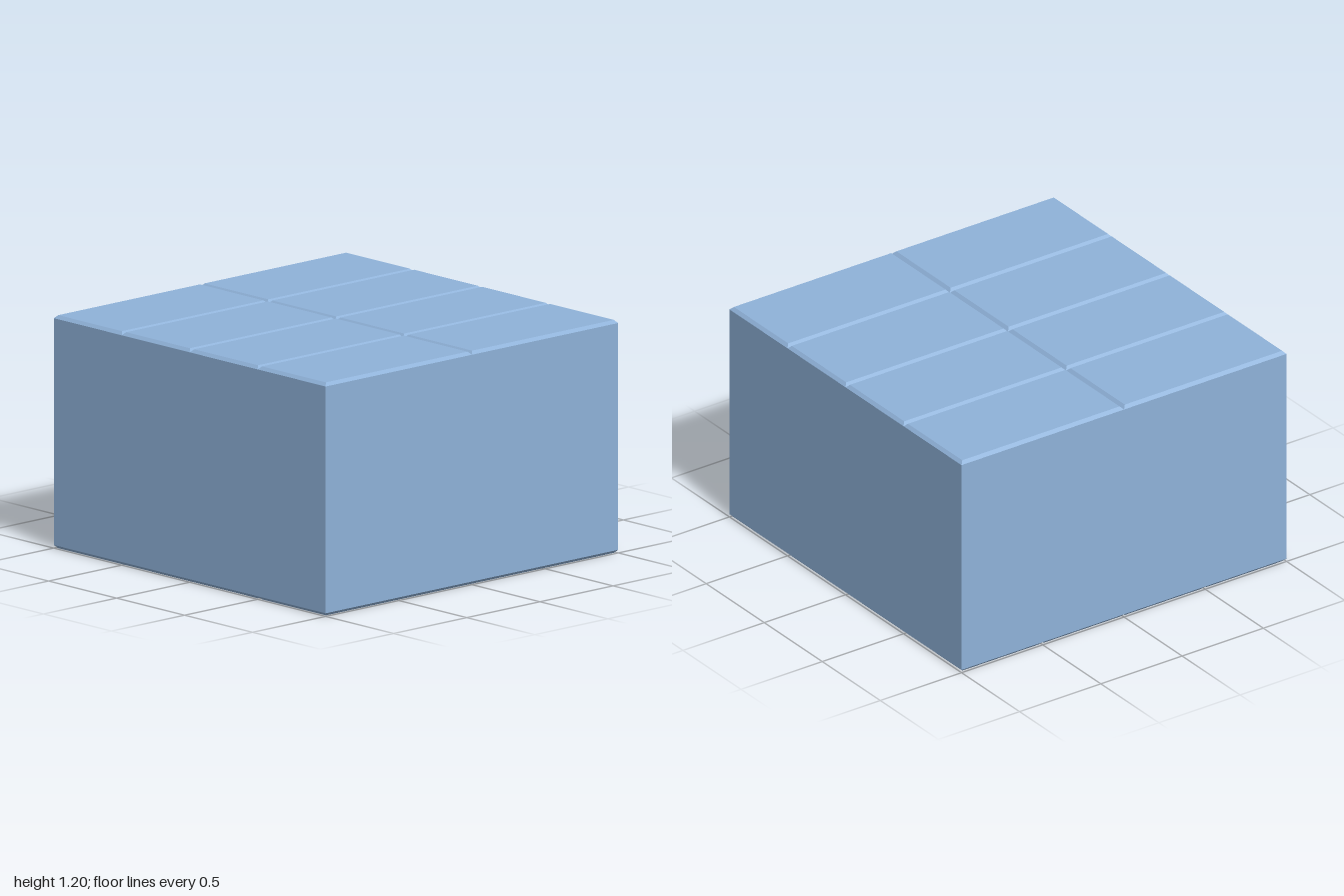
import * as THREE from 'three';

const HEIGHT = 1.2;
const BEVEL = 0.016;

// Shallow slab over [x0,x1] x [z0,z1] whose outer face (side = 1 up, -1 down) is inset at 45 degrees
function beveledTile(x0, x1, z0, z1, side) {
  const w = x1 - x0, d = z1 - z0;
  const geo = new THREE.BoxGeometry(w, BEVEL, d);
  const pos = geo.attributes.position;
  for (let i = 0; i < pos.count; i++) {
    if (pos.getY(i) * side > 0) {
      pos.setX(i, pos.getX(i) * (1 - 2 * BEVEL / w));
      pos.setZ(i, pos.getZ(i) * (1 - 2 * BEVEL / d));
    }
  }
  geo.computeVertexNormals();
  const y = side > 0 ? HEIGHT - BEVEL / 2 : BEVEL / 2;
  geo.translate((x0 + x1) / 2, y, (z0 + z1) / 2);
  return geo;
}

export function createModel() {
  const root = new THREE.Group();
  root.name = 'beveledBlock';
  const material = new THREE.MeshStandardMaterial({ color: 0x8fb2d9 });
  const add = (parent, name, geo) => {
    const mesh = new THREE.Mesh(geo, material);
    mesh.name = name;
    parent.add(mesh);
    return mesh;
  };

  // Solid body between the two bevelled faces
  add(root, 'body', new THREE.BoxGeometry(2, HEIGHT - 2 * BEVEL, 2)).position.y = HEIGHT / 2;

  // Top: two columns by four rows of equal tiles
  const topTiles = new THREE.Group();
  topTiles.name = 'topTiles';
  for (let col = 0; col < 2; col++) {
    for (let row = 0; row < 4; row++) {
      const x = col - 1, z = row * 0.5 - 1;
      add(topTiles, `topTile${col}_${row}`, beveledTile(x, x + 1, z, z + 0.5, 1));
    }
  }

  // Bottom: nested L-shaped pairs of planks shrinking towards the +x, -z corner
  const bottomTiles = new THREE.Group();
  bottomTiles.name = 'bottomTiles';
  for (let size = 2; size > 0.5; size -= 0.5) {
    const x0 = 1 - size, z1 = size - 1;
    add(bottomTiles, `crossPlank${size}`, beveledTile(x0, 1, z1 - 0.5, z1, -1));
    add(bottomTiles, `sidePlank${size}`, beveledTile(x0, x0 + 0.5, -1, z1 - 0.5, -1));
  }
  add(bottomTiles, 'cornerTile', beveledTile(0.5, 1, -1, -0.5, -1));

  root.add(topTiles, bottomTiles);
  return root;
}
